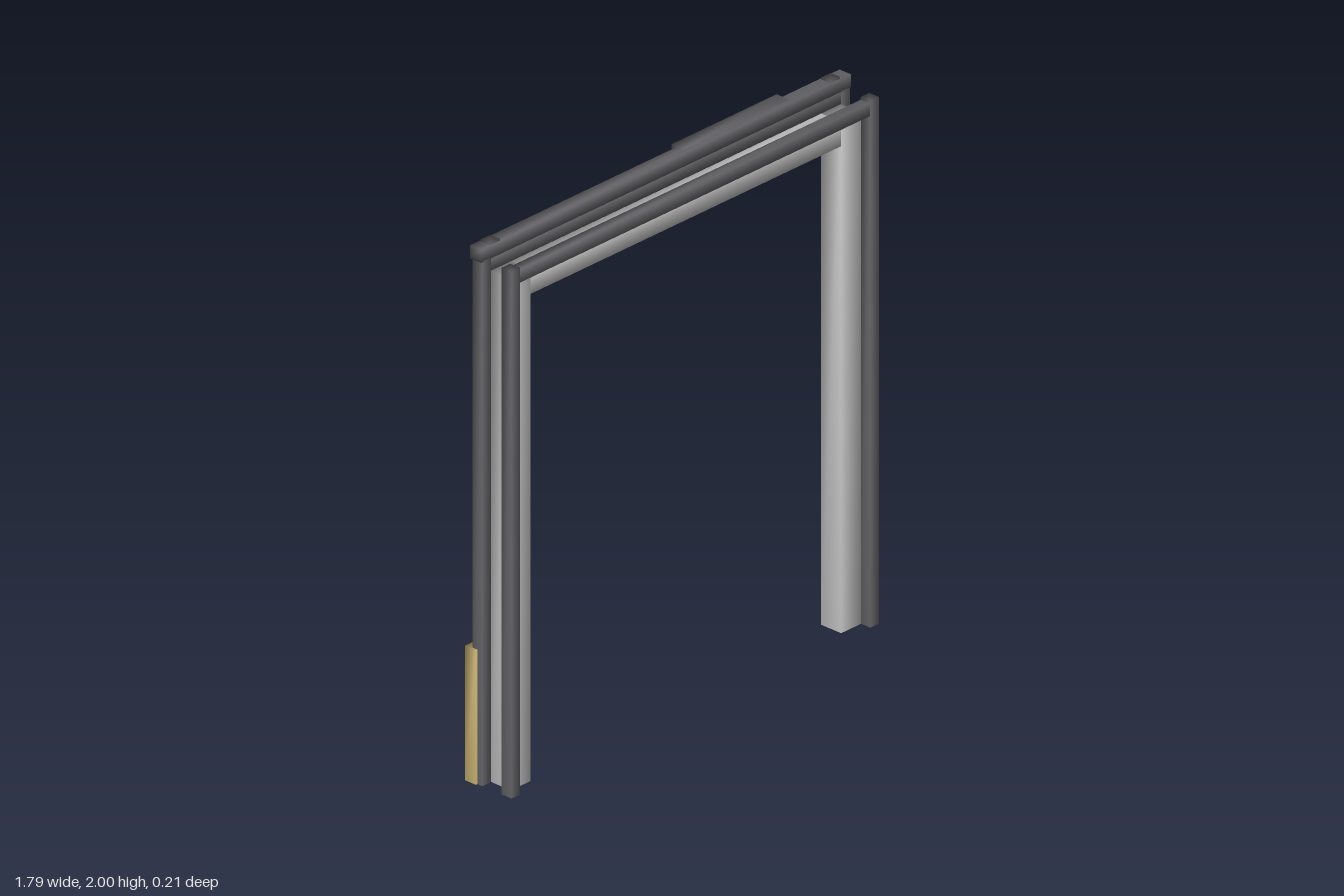
import * as THREE from 'three';
import { mergeVertices } from 'three/addons/utils/BufferGeometryUtils.js';

const grey = new THREE.MeshStandardMaterial({ color: 0xcccccc });
const dark = new THREE.MeshStandardMaterial({ color: 0x66666a });
const brass = new THREE.MeshStandardMaterial({ color: 0xd0b878 });

// Box between two corners, with normals shared across its edges
function beam(name, material, [x0, x1], [y0, y1], [z0, z1]) {
  const box = new THREE.BoxGeometry(x1 - x0, y1 - y0, z1 - z0);
  box.deleteAttribute('normal');
  box.deleteAttribute('uv');
  const geometry = mergeVertices(box);
  geometry.computeVertexNormals();
  const mesh = new THREE.Mesh(geometry, material);
  mesh.name = name;
  mesh.position.set((x0 + x1) / 2, (y0 + y1) / 2, (z0 + z1) / 2);
  return mesh;
}

export function createModel() {
  const group = new THREE.Group();
  group.name = 'doorFrame';

  // Uprights, one set on each side
  for (const [side, s] of [['left', 1], ['right', -1]]) {
    const post = (name, material, [a, b], y, z) =>
      group.add(beam(side + name, material, s > 0 ? [a, b] : [-b, -a], y, z));
    post('Jamb', grey, [0.752, 0.847], [0, 1.9], [-0.031, 0.06]);
    post('FrontPost', dark, [0.848, 0.89], [0, 1.957], [0.058, 0.103]);
    post('BackOuterPost', dark, [0.848, 0.89], [0, 1.95], [-0.075, -0.03]);
    post('BackInnerPost', dark, [0.8, 0.847], [0, 2], [-0.078, -0.034]);
    post('HingeCover', brass, [0.848, 0.897], [0, 0.5], [-0.103, -0.053]);
  }

  // Lintel and the trim across the top
  group.add(
    beam('lintel', grey, [-0.752, 0.752], [1.81, 1.9], [-0.031, 0.06]),
    beam('frontHeader', dark, [-0.85, 0.85], [1.9, 1.948], [0.06, 0.1]),
    beam('backLowerHeader', dark, [-0.85, 0.85], [1.9, 1.948], [-0.075, -0.032]),
    beam('backUpperHeader', dark, [-0.895, 0.895], [1.946, 1.994], [-0.082, -0.03]),
    beam('closerBox', dark, [0.104, 0.612], [1.903, 1.998], [-0.103, -0.05]),
  );
  return group;
}
